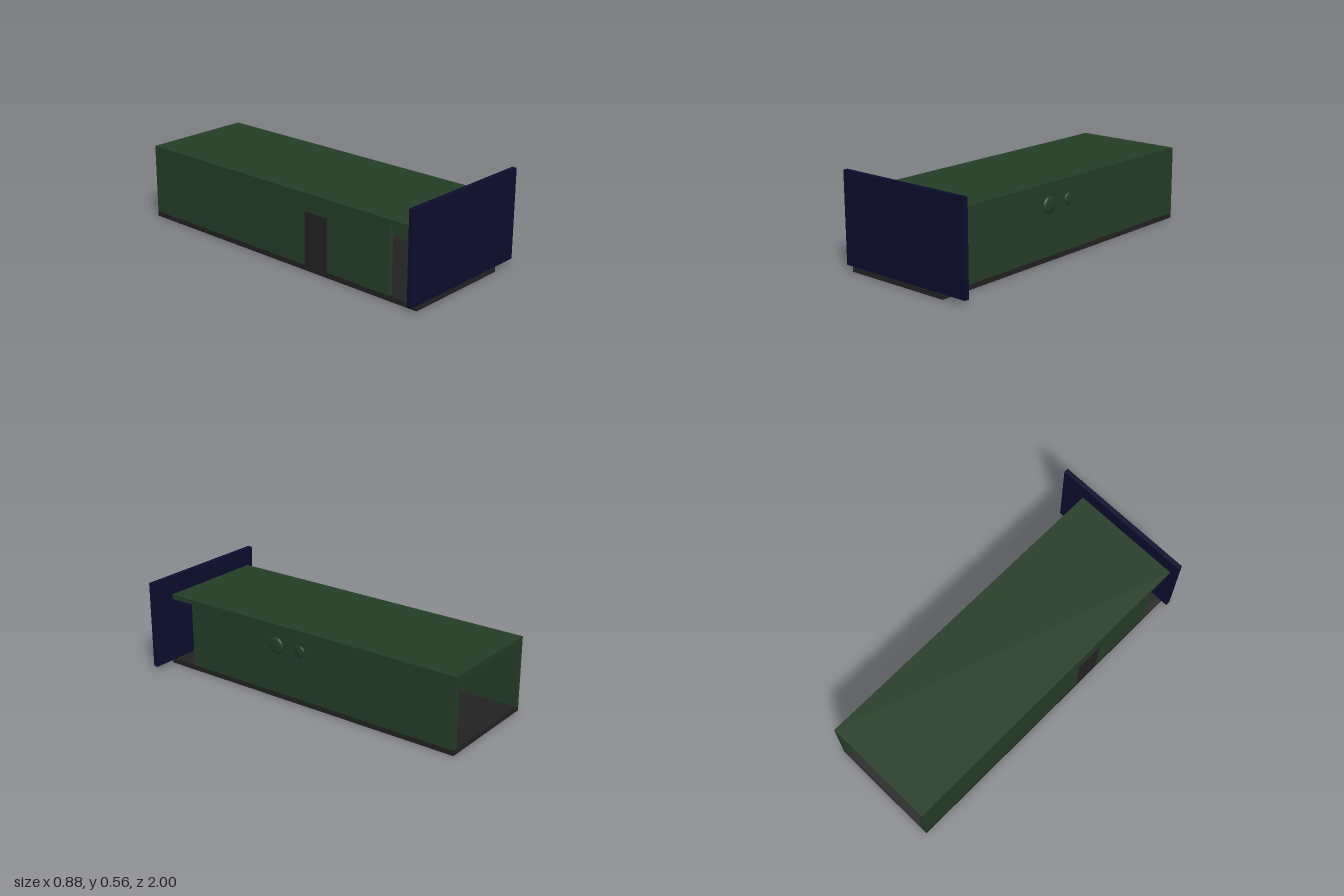
import * as THREE from 'three';

export function createModel() {
  const model = new THREE.Group();
  const paint = (name, color) => {
    const m = new THREE.MeshStandardMaterial({ color });
    m.name = name;
    return m;
  };
  const green = paint('dark green', 0x243c25);
  const navy = paint('navy', 0x0c0d2d);
  const charcoal = paint('charcoal', 0x232222);

  const add = (name, geometry, material) => {
    const mesh = new THREE.Mesh(geometry, material);
    mesh.name = name;
    model.add(mesh);
    return mesh;
  };
  // Box given by its lower and upper corners
  const box = (name, material, [x0, y0, z0], [x1, y1, z1]) => {
    const mesh = add(name, new THREE.BoxGeometry(x1 - x0, y1 - y0, z1 - z0), material);
    mesh.position.set((x0 + x1) / 2, (y0 + y1) / 2, (z0 + z1) / 2);
  };

  const L = -0.394, R = 0.284, T = 0.028; // body sides and board thickness

  // Boards of the open-ended body
  box('base', charcoal, [L, 0, -1], [R, 0.03, 1]);
  box('roof', green, [L, 0.417, -1], [R, 0.445, 0.972]);
  box('leftWall', green, [R - T, 0.03, -1], [R, 0.417, 0.815]);
  box('rightWall', green, [L, 0.03, -1], [L + T, 0.417, 0.815]);

  // Wide front panel standing on the base
  box('frontPanel', navy, [-0.439, 0.03, 0.972], [0.439, 0.555, 1]);

  // Dark door plate on the right wall
  box('doorPlate', charcoal, [L - 0.003, 0.03, 0.23], [L + 0.002, 0.34, 0.39]);

  // Domed buttons on the left wall: z, y, radius, height
  for (const [name, z, y, r, h] of [
    ['largeButton', 0.176, 0.32, 0.05, 0.016],
    ['smallButton', 0.009, 0.324, 0.036, 0.011],
  ]) {
    const dome = add(name, new THREE.SphereGeometry(1, 32, 20), green);
    dome.scale.set(h, r, r);
    dome.position.set(R, y, z);
  }

  return model;
}
